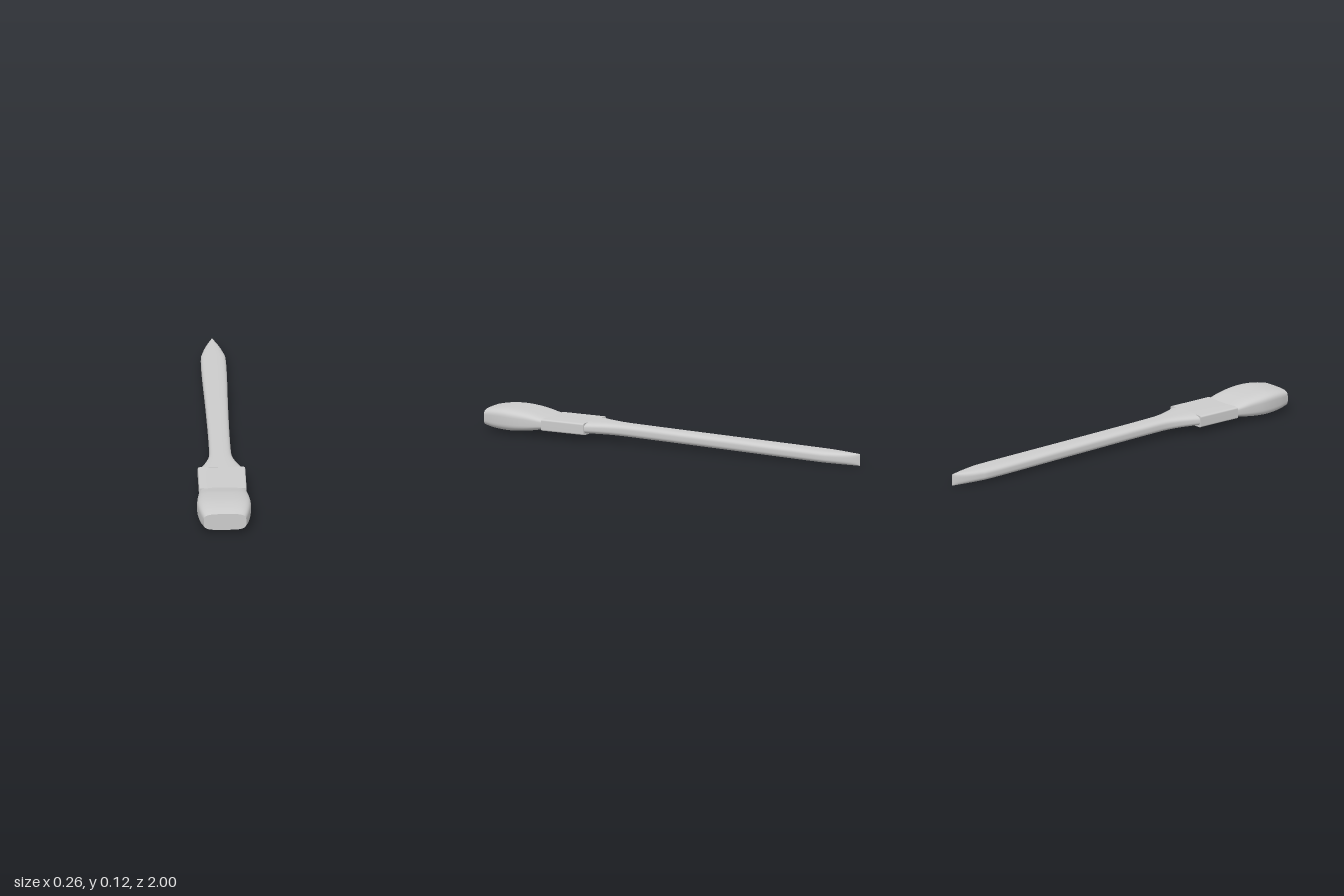
import * as THREE from 'three';

const SEG = 64;

// Smooth loft along z. Stations are [z, halfWidth, bottomY, topY], from back to front.
function loft(name, material, stations, power, steps) {
  const track = k => new THREE.SplineCurve(stations.map(s => new THREE.Vector2(s[0], s[k])));
  const [width, bottom, top] = [track(1), track(2), track(3)];
  const pos = [], index = [];
  const addRing = t => {
    const w = width.getPoint(t), y0 = bottom.getPoint(t).y, y1 = top.getPoint(t).y;
    for (let j = 0; j < SEG; j++) {
      const a = (j / SEG) * Math.PI * 2;
      const round = v => Math.sign(v) * Math.pow(Math.abs(v), 2 / power);
      pos.push(w.y * round(Math.cos(a)), (y0 + y1) / 2 + ((y1 - y0) / 2) * round(Math.sin(a)), w.x);
    }
  };
  for (let i = 0; i <= steps; i++) addRing(i / steps);
  for (let i = 0; i < steps; i++) {
    for (let j = 0; j < SEG; j++) {
      const a = i * SEG + j, b = i * SEG + (j + 1) % SEG;
      index.push(a, b, b + SEG, a, b + SEG, a + SEG);
    }
  }
  // Flat end caps with their own vertices, so the rims stay sharp
  for (const t of [0, 1]) {
    const base = pos.length / 3;
    addRing(t);
    for (let j = 1; j < SEG - 1; j++) {
      if (t) index.push(base, base + j, base + j + 1);
      else index.push(base, base + j + 1, base + j);
    }
  }
  const geometry = new THREE.BufferGeometry();
  geometry.setAttribute('position', new THREE.Float32BufferAttribute(pos, 3));
  geometry.setIndex(index);
  geometry.computeVertexNormals();
  const mesh = new THREE.Mesh(geometry, material);
  mesh.name = name;
  return mesh;
}

export function createModel() {
  const grey = new THREE.MeshStandardMaterial({ color: 0xcccccc });
  grey.name = 'light grey';
  const brush = new THREE.Group();
  brush.name = 'paintbrush';

  // Handle: slopes down to a pointed end, flares out where it meets the ferrule
  const outline = [
    [-1, 0.001], [-0.97, 0.018], [-0.92, 0.037], [-0.86, 0.052], [-0.8, 0.06], [-0.6, 0.06],
    [-0.3, 0.055], [0, 0.052], [0.2, 0.052], [0.29, 0.055], [0.35, 0.068], [0.4, 0.086], [0.455, 0.111],
  ];
  const handle = outline.map(([z, w]) => {
    const rise = ((z + 1) / 1.45) * 0.032;
    return [z, w, rise, rise + 0.058];
  });
  brush.add(loft('handle', grey, handle, 3.2, 96));

  // Ferrule: straight flat sleeve with softened corners
  brush.add(loft('ferrule', grey, [[0.45, 0.114, 0.03, 0.088], [0.68, 0.114, 0.03, 0.088]], 12, 2));

  // Bristles: swell out of the ferrule and narrow to a flat cut end
  brush.add(loft('bristles', grey, [
    [0.665, 0.109, 0.034, 0.086], [0.7, 0.115, 0.029, 0.094], [0.76, 0.123, 0.018, 0.108], [0.83, 0.129, 0.011, 0.117],
    [0.89, 0.126, 0.01, 0.12], [0.95, 0.116, 0.014, 0.116], [1, 0.102, 0.023, 0.107],
  ], 4, 48));

  return brush;
}
